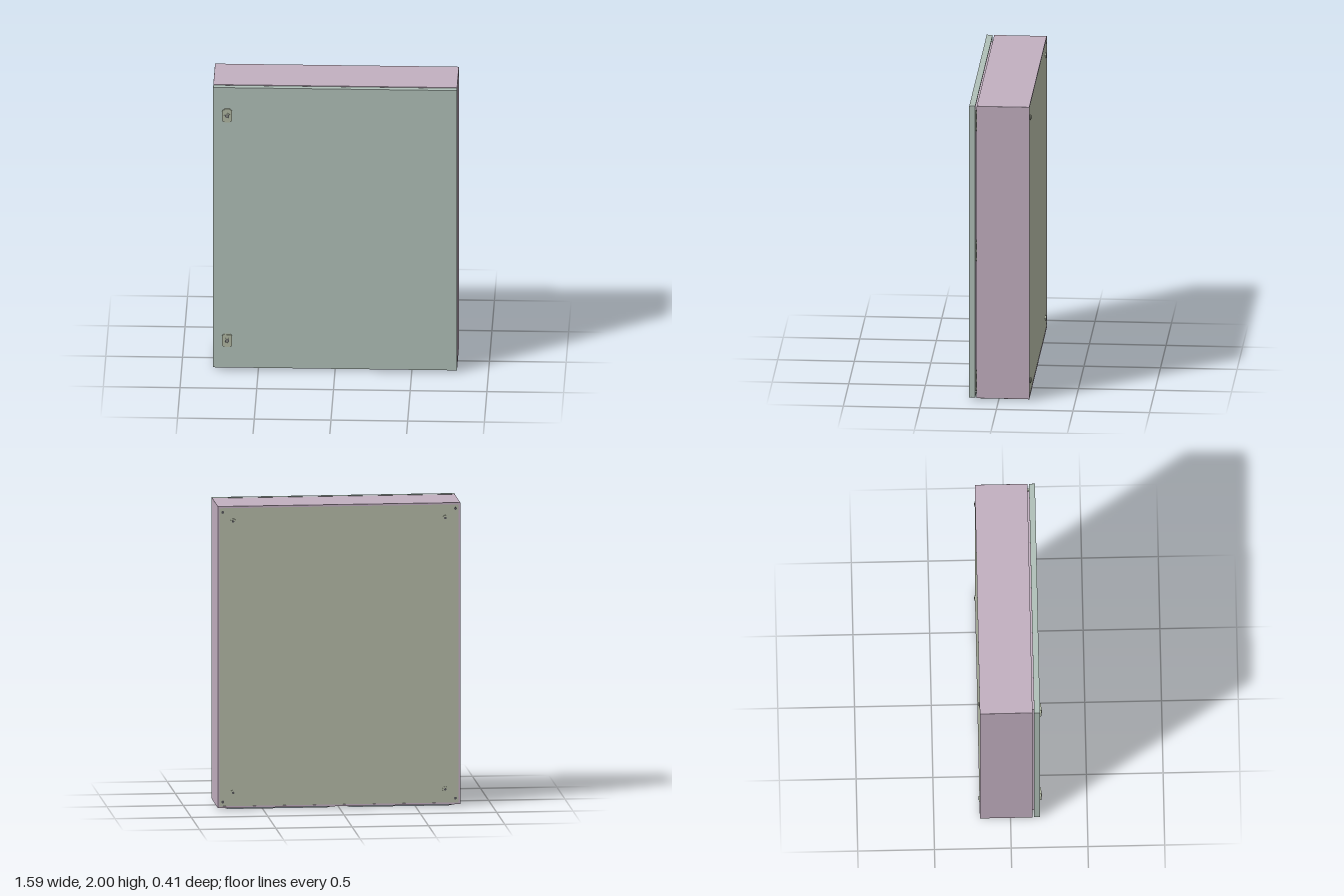
import * as THREE from 'three';

const mat = (color) => new THREE.MeshStandardMaterial({ color });
const shellMat = mat(0xc2afc0), doorMat = mat(0xb0c0b8), backMat = mat(0xb4baa6);
const plateMat = mat(0xa5b2be), lockMat = mat(0xb2b9a4), darkMat = mat(0x55555a);

function add(parent, name, geometry, material, x = 0, y = 0, z = 0) {
  const m = new THREE.Mesh(geometry, material);
  m.name = name;
  m.position.set(x, y, z);
  parent.add(m);
  return m;
}
const box = (w, h, d) => new THREE.BoxGeometry(w, h, d);

// Rectangle with rounded corners, centred on the origin
function roundRect(w, h, r, Type = THREE.Shape) {
  const s = new Type(), a = w / 2, b = h / 2;
  s.moveTo(-a + r, -b);
  s.lineTo(a - r, -b); s.absarc(a - r, -b + r, r, -Math.PI / 2, 0);
  s.lineTo(a, b - r); s.absarc(a - r, b - r, r, 0, Math.PI / 2);
  s.lineTo(-a + r, b); s.absarc(-a + r, b - r, r, Math.PI / 2, Math.PI);
  s.lineTo(-a, -b + r); s.absarc(-a + r, -b + r, r, Math.PI, Math.PI * 1.5);
  return s;
}
const extrude = (shape, depth) =>
  new THREE.ExtrudeGeometry(shape, { depth, bevelEnabled: false, curveSegments: 6 });

// Rectangular tube running along z
function frame(w, h, t, depth) {
  const s = roundRect(w, h, 0.003);
  s.holes.push(roundRect(w - 2 * t, h - 2 * t, 0.002, THREE.Path));
  return extrude(s, depth);
}

// Disc or ring facing along z
function disc(r, depth, sides = 24) {
  return new THREE.CylinderGeometry(r, r, depth, sides).rotateX(Math.PI / 2);
}

function makeLock(y) {
  const g = new THREE.Group();
  g.name = 'lock';
  g.position.set(-0.703, y, 0.191);
  add(g, 'lockPlate', extrude(roundRect(0.064, 0.084, 0.012), 0.011), lockMat);
  add(g, 'lockTabs', box(0.036, 0.096, 0.007), lockMat, 0, 0, 0.0035);
  const ring = new THREE.Shape().absarc(0, 0, 0.02, 0, Math.PI * 2);
  ring.holes.push(new THREE.Path().absarc(0, 0, 0.014, 0, Math.PI * 2, true));
  add(g, 'lockRing', extrude(ring, 0.014), lockMat);
  add(g, 'lockWell', disc(0.014, 0.001), darkMat, 0, 0, 0.0115);
  add(g, 'lockInsert', box(0.005, 0.018, 0.002), lockMat, 0, 0, 0.0125);
  return g;
}

export function createModel() {
  const model = new THREE.Group();
  model.name = 'wallCabinet';
  const W = 1.59, H = 1.99, cy = 1.005;

  // Cabinet shell, with a folded front flange and a collar behind the door
  const shell = new THREE.Group();
  shell.name = 'shell';
  model.add(shell);
  add(shell, 'walls', frame(W, H, 0.012, 0.343), shellMat, 0, cy, -0.2);
  add(shell, 'frontFlange', frame(W - 0.01, H - 0.01, 0.045, 0.008), shellMat, 0, cy, 0.135);
  add(shell, 'collar', frame(1.515, 1.915, 0.008, 0.035), shellMat, 0, cy, 0.14);

  // Back panel, set just inside the walls
  add(model, 'backPanel', box(W - 0.018, H - 0.018, 0.012), backMat, 0, cy, -0.192);
  for (const sx of [-1, 1]) for (const sy of [-1, 1]) {
    add(model, 'mountingPlug', disc(0.018, 0.01), backMat, sx * 0.695, cy + sy * 0.895, -0.2);
    add(model, 'plugRecess', disc(0.008, 0.001), darkMat, sx * 0.695, cy + sy * 0.895, -0.205);
    add(model, 'cornerHole', disc(0.009, 0.001, 16), darkMat, sx * 0.762, cy + sy * 0.955, -0.1981);
  }

  // Door: front sheet, returned edges and sealing strip
  const door = new THREE.Group();
  door.name = 'door';
  model.add(door);
  const dH = 1.985, dy = 1.0075;
  add(door, 'doorSheet', box(W, dH, 0.01), doorMat, 0, dy, 0.187);
  add(door, 'doorEdges', frame(W, dH, 0.01, 0.03), doorMat, 0, dy, 0.153);
  add(door, 'seal', frame(1.53, 1.93, 0.025, 0.012), darkMat, 0, dy, 0.171);
  for (const y of [1.803, 0.209]) door.add(makeLock(y));

  // Hinges in the gap on the left edge, each with two leaves and a pin
  for (const y of [1.895, 1.008, 0.125]) {
    const hinge = new THREE.Group();
    hinge.name = 'hinge';
    hinge.position.set(0.768, y, 0.152);
    model.add(hinge);
    for (const s of [-1, 1])
      add(hinge, 'hingeLeaf', box(0.018, 0.018, 0.03), lockMat, 0, s * 0.055, 0);
    add(hinge, 'hingeKnuckle', box(0.018, 0.022, 0.03), lockMat);
    add(hinge, 'hingePin', new THREE.CylinderGeometry(0.005, 0.005, 0.14, 12), lockMat);
  }

  // Floor and its two cable gland plates with screws round the edge
  add(shell, 'floor', box(W - 0.02, 0.008, 0.33), shellMat, 0, 0.0145, -0.03);
  for (const sx of [-1, 1]) {
    const gland = new THREE.Group();
    gland.name = 'glandPlate';
    gland.position.set(sx * 0.4, 0, -0.04);
    model.add(gland);
    const sheet = extrude(roundRect(0.68, 0.3, 0.03), 0.009).rotateX(-Math.PI / 2);
    add(gland, 'plateSheet', sheet, plateMat, 0, 0.002, 0);
    for (const sz of [-1, 1]) for (let i = -2; i <= 2; i++)
      add(gland, 'plateScrew', new THREE.CylinderGeometry(0.007, 0.007, 0.003, 12),
        plateMat, i * 0.15, 0.0015, sz * 0.132);
  }
  return model;
}
